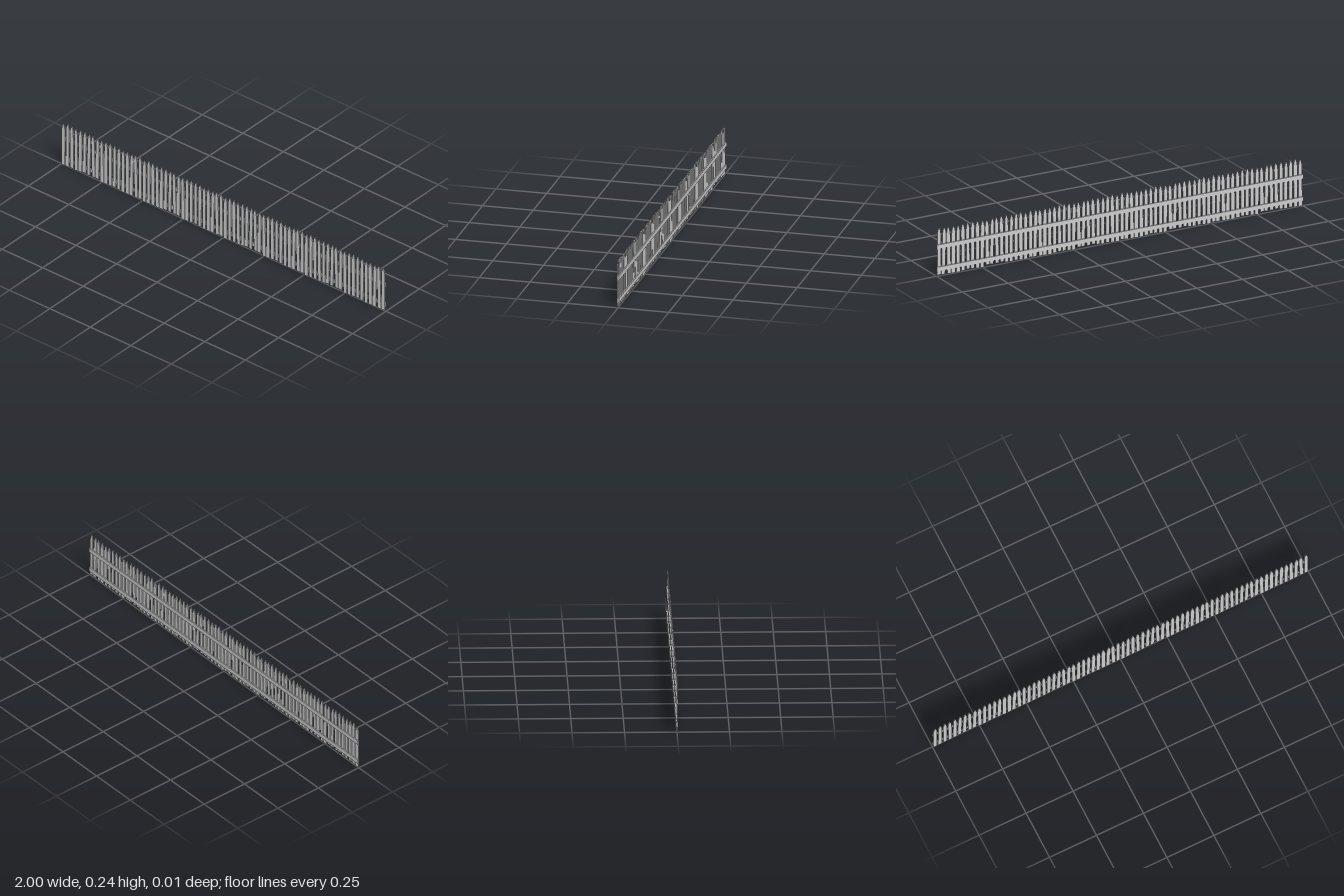
import * as THREE from 'three';

const SECTIONS = 4, PER_SECTION = 19, SECTION_WIDTH = 0.5;
const PITCH = SECTION_WIDTH / PER_SECTION;

// small seeded generator for the hand-built irregularity
function seeded(seed) {
  return () => (seed = (seed * 16807) % 2147483647) / 2147483647;
}

// picket board with a curved, pointed top, centred on x
function picketGeometry(width, height, thickness) {
  const h = width / 2;
  const shape = new THREE.Shape();
  shape.moveTo(-h, 0);
  shape.lineTo(h, 0);
  shape.lineTo(h, height - 0.032);
  shape.lineTo(h * 0.72, height - 0.014);
  shape.lineTo(h * 0.22, height);
  shape.lineTo(-h * 0.22, height);
  shape.lineTo(-h * 0.72, height - 0.014);
  shape.lineTo(-h, height - 0.032);
  return new THREE.ExtrudeGeometry(shape, { depth: thickness, bevelEnabled: false });
}

export function createModel() {
  const fence = new THREE.Group();
  fence.name = 'picketFence';
  const wood = new THREE.MeshStandardMaterial({ color: 0xcccccc, flatShading: true });

  for (let s = 0; s < SECTIONS; s++) {
    const section = new THREE.Group();
    section.name = 'fenceSection';
    section.position.x = (s - (SECTIONS - 1) / 2) * SECTION_WIDTH;
    fence.add(section);

    // pickets: the same slightly uneven run in every section
    const rand = seeded(4217);
    for (let i = 0; i < PER_SECTION; i++) {
      const bottom = i === 0 ? 0 : rand() * 0.011;
      const top = i === 1 ? 0.243 : 0.234 + rand() * 0.009;
      const width = 0.0185 + rand() * 0.002;
      const geometry = picketGeometry(width, top - bottom, 0.005);
      const half = (top - bottom) / 2;
      geometry.translate(0, -half, 0);
      const picket = new THREE.Mesh(geometry, wood);
      picket.name = 'picket';
      picket.position.set((i + 0.5 - PER_SECTION / 2) * PITCH, bottom + half, 0);
      picket.rotation.z = (rand() - 0.5) * 0.05;
      section.add(picket);
    }

    // two rails across the back
    for (const [name, y] of [['lowerRail', 0.036], ['upperRail', 0.149]]) {
      const rail = new THREE.Mesh(new THREE.BoxGeometry(SECTION_WIDTH, 0.022, 0.005), wood);
      rail.name = name;
      rail.position.set(0, y, -0.0025);
      section.add(rail);
    }
  }
  return fence;
}
